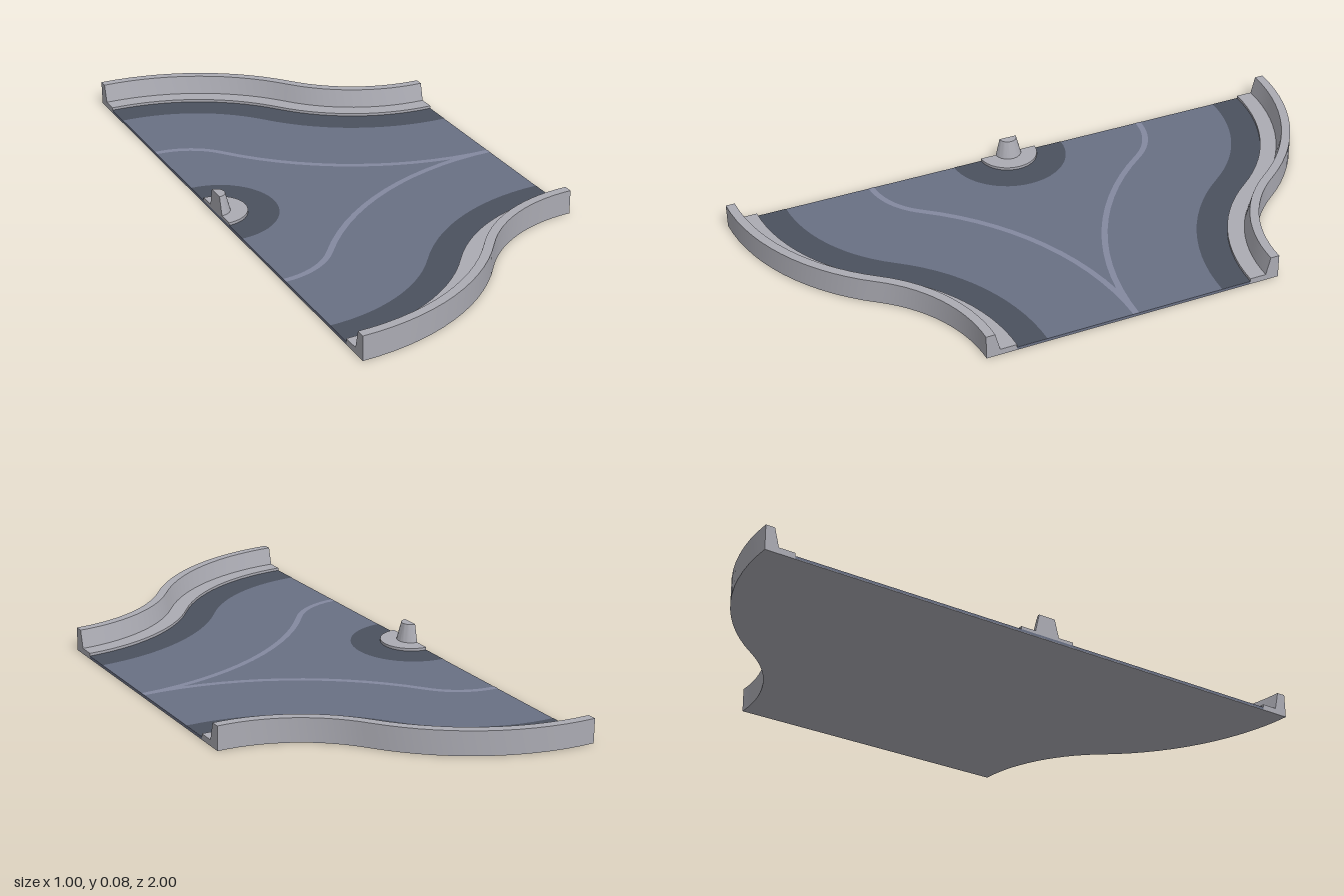
import * as THREE from 'three';
import { toCreasedNormals } from 'three/addons/utils/BufferGeometryUtils.js';

const STEPS = 14;
const BEND = 2 * Math.atan(0.5); // angle where the two arcs of the S-curve meet

const mat = (color) => new THREE.MeshStandardMaterial({ color });
const curbMat = mat(0xababb3);
const roadMat = mat(0x697084);
const darkMat = mat(0x4b515e);
const lineMat = mat(0x8489a0);

// Points [x, z] of the S-curve, moved inward by d from the outer edge
function edgeCurve(d) {
  const pts = [];
  for (let i = 0; i <= STEPS; i++) {
    const t = (BEND * i) / STEPS;
    pts.push([-0.5 + (0.75 - d) * Math.sin(t), 0.25 + (0.75 - d) * Math.cos(t)]);
  }
  for (let i = STEPS - 1; i >= 0; i--) {
    const t = (BEND * i) / STEPS;
    pts.push([0.5 - (0.5 + d) * Math.sin(t), 1 - (0.5 + d) * Math.cos(t)]);
  }
  return pts;
}

// Sweeps a profile of [inward offset, height] along the S-curve; side mirrors it in z
function sweep(profile, side, closed) {
  const n = profile.length;
  const rails = profile.map(([d]) => edgeCurve(d));
  const stations = rails[0].length;
  const pos = [];
  const index = [];
  const tri = (a, b, c) => (side > 0 ? index.push(a, b, c) : index.push(a, c, b));
  for (let i = 0; i < stations; i++) {
    profile.forEach(([, y], j) => pos.push(rails[j][i][0], y, side * rails[j][i][1]));
  }
  for (let i = 0; i < stations - 1; i++) {
    for (let j = 0; j < (closed ? n : n - 1); j++) {
      const a = i * n + j;
      const b = i * n + ((j + 1) % n);
      tri(a, b, a + n);
      tri(b, b + n, a + n);
    }
  }
  if (closed) {
    const last = (stations - 1) * n;
    const contour = profile.map(([d, y]) => new THREE.Vector2(d, y));
    for (const [a, b, c] of THREE.ShapeUtils.triangulateShape(contour, [])) {
      tri(a, c, b);
      tri(last + a, last + b, last + c);
    }
  }
  const geo = new THREE.BufferGeometry();
  geo.setAttribute('position', new THREE.Float32BufferAttribute(pos, 3));
  geo.setIndex(index);
  return toCreasedNormals(geo, 0.2);
}

export function createModel() {
  const group = new THREE.Group();
  const add = (name, geo, material) => {
    const mesh = new THREE.Mesh(geo, material);
    mesh.name = name;
    group.add(mesh);
    return mesh;
  };

  // Road slab between the curbs, on a thin grey underside
  const right = edgeCurve(0.1);
  const left = right.map(([x, z]) => [x, -z]).reverse();
  const outline = new THREE.Shape([...right, ...left].map(([x, z]) => new THREE.Vector2(x, z)));
  const slab = (y, depth) =>
    new THREE.ExtrudeGeometry(outline, { depth, bevelEnabled: false }).rotateX(-Math.PI / 2).translate(0, y, 0);
  add('underside', slab(0, 0.002), curbMat);
  add('road', slab(0.002, 0.008), roadMat);

  // Curb wall, dark shoulder and painted line on each side
  const wall = [[0, 0], [0.1, 0], [0.1, 0.02], [0.045, 0.02], [0.03, 0.08], [0, 0.08]];
  for (const [side, label] of [[1, 'front'], [-1, 'back']]) {
    add(label + 'Wall', sweep(wall, side, true), curbMat);
    add(label + 'Shoulder', sweep([[0.2, 0.0108], [0.1, 0.0108]], side, false), darkMat);
    add(label + 'Line', sweep([[0.51, 0.0108], [0.49, 0.0108]], side, false), lineMat);
  }

  // Dark half ring on the road around the divider
  const patch = new THREE.CircleGeometry(0.2, 24, -Math.PI / 2, Math.PI);
  add('dividerShoulder', patch.rotateX(-Math.PI / 2).translate(-0.5, 0.0108, 0), darkMat);

  // Half-round divider post with its foot
  const post = [[0.1, 0.01], [0.1, 0.02], [0.045, 0.02], [0.03, 0.08], [0, 0.08]].map(([r, y]) => new THREE.Vector2(r, y));
  const lathe = new THREE.LatheGeometry(post, 24, 0, Math.PI);
  add('dividerPost', toCreasedNormals(lathe, 0.5).translate(-0.5, 0, 0), curbMat);

  // Flat cut face of the post
  const mirrored = post.slice(0, -1).map((p) => new THREE.Vector2(-p.x, p.y)).reverse();
  const cut = new THREE.ShapeGeometry(new THREE.Shape([...post, ...mirrored]));
  add('dividerCutFace', cut.rotateY(-Math.PI / 2).translate(-0.5, 0, 0), curbMat);

  return group;
}
